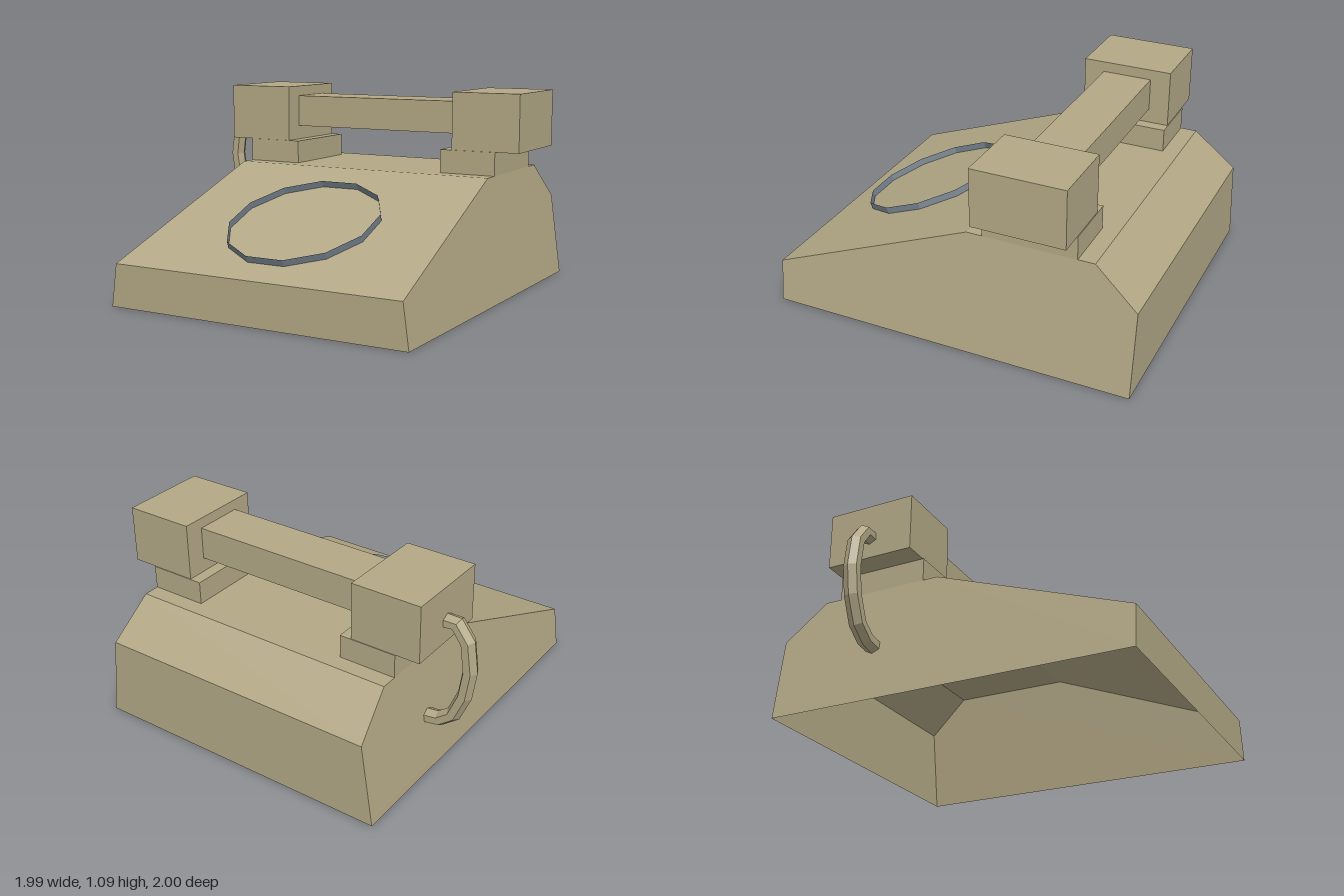
import * as THREE from 'three';

const CX = 0.085; // centre line of the body

function meshFrom(name, geometry, material) {
  const mesh = new THREE.Mesh(geometry, material);
  mesh.name = name;
  return mesh;
}

// Box given by its limits on each axis
function boxBetween(name, [x0, x1], [y0, y1], [z0, z1], material) {
  const g = new THREE.BoxGeometry(x1 - x0, y1 - y0, z1 - z0);
  g.translate((x0 + x1) / 2, (y0 + y1) / 2, (z0 + z1) / 2);
  return meshFrom(name, g, material);
}

function indexed(points, index) {
  const g = new THREE.BufferGeometry();
  g.setAttribute('position', new THREE.Float32BufferAttribute(points, 3));
  g.setIndex(index);
  const flat = g.toNonIndexed();
  flat.computeVertexNormals();
  return flat;
}

// Wedge shell, open underneath, with sides leaning inwards
function bodyGeometry() {
  const profile = [[1, 0], [1, 0.23], [-0.09, 0.655], [-0.77, 0.655], [-1, 0.455], [-1, 0]]; // z, y
  const points = [], index = [];
  for (const [z, y] of profile) {
    const half = 0.86 - 0.09 * y / 0.655;
    points.push(CX + half, y, z, CX - half, y, z);
  }
  for (let i = 0; i < profile.length - 1; i++) {
    const r = 2 * i, l = r + 1;
    index.push(r, r + 2, l + 2, r, l + 2, l);
    if (i > 0) index.push(0, r + 2, r, 1, l, l + 2);
  }
  return indexed(points, index);
}

// Six-sided cord swept along a bent path in the x-y plane
function cordGeometry() {
  const path = [[-0.8, 0.9], [-0.88, 0.903], [-0.94, 0.82], [-0.961, 0.66],
    [-0.938, 0.51], [-0.88, 0.375], [-0.805, 0.318], [-0.715, 0.305]];
  const sides = 6, points = [], index = [];
  path.forEach(([x, y], i) => {
    const a = path[Math.max(i - 1, 0)], b = path[Math.min(i + 1, path.length - 1)];
    const t = new THREE.Vector2(b[0] - a[0], b[1] - a[1]).normalize();
    for (let k = 0; k < sides; k++) {
      const angle = k / sides * Math.PI * 2;
      const out = 0.04 * Math.cos(angle);
      points.push(x - t.y * out, y + t.x * out, -0.43 + 0.046 * Math.sin(angle));
      if (i < path.length - 1) {
        const p = i * sides + k, q = i * sides + (k + 1) % sides;
        index.push(p, q, q + sides, p, q + sides, p + sides);
      }
    }
  });
  return indexed(points, index);
}

export function createModel() {
  const tan = new THREE.MeshStandardMaterial({ color: 0xb3a886, flatShading: true, side: THREE.DoubleSide });
  tan.name = 'tan';
  const blueGrey = new THREE.MeshStandardMaterial({ color: 0x74808c, flatShading: true, side: THREE.DoubleSide });
  blueGrey.name = 'blueGrey';

  const model = new THREE.Group();
  model.name = 'telephone';
  model.add(meshFrom('body', bodyGeometry(), tan));

  // Dial rim standing on the sloped front
  const rim = meshFrom('dialRim',
    new THREE.CylinderGeometry(0.41, 0.41, 0.036, 12, 1, true, Math.PI / 12), blueGrey);
  const slope = Math.atan2(0.425, 1.09);
  rim.rotation.x = slope;
  rim.position.set(CX, 0.43 + 0.018 * Math.cos(slope), 0.488 + 0.018 * Math.sin(slope));
  model.add(rim);

  // Cradle pads
  model.add(boxBetween('rightCradle', [-0.685, -0.365], [0.655, 0.782], [-0.68, -0.175], tan));
  model.add(boxBetween('leftCradle', [0.54, 0.857], [0.655, 0.782], [-0.68, -0.175], tan));

  // Handset
  const handset = new THREE.Group();
  handset.name = 'handset';
  handset.add(
    boxBetween('rightEarpiece', [-0.82, -0.43], [0.782, 1.094], [-0.676, -0.18], tan),
    boxBetween('leftMouthpiece', [0.605, 0.99], [0.782, 1.094], [-0.676, -0.18], tan),
    boxBetween('handle', [-0.43, 0.605], [0.86, 1.037], [-0.565, -0.292], tan));
  model.add(handset);

  model.add(meshFrom('cord', cordGeometry(), tan));
  return model;
}
